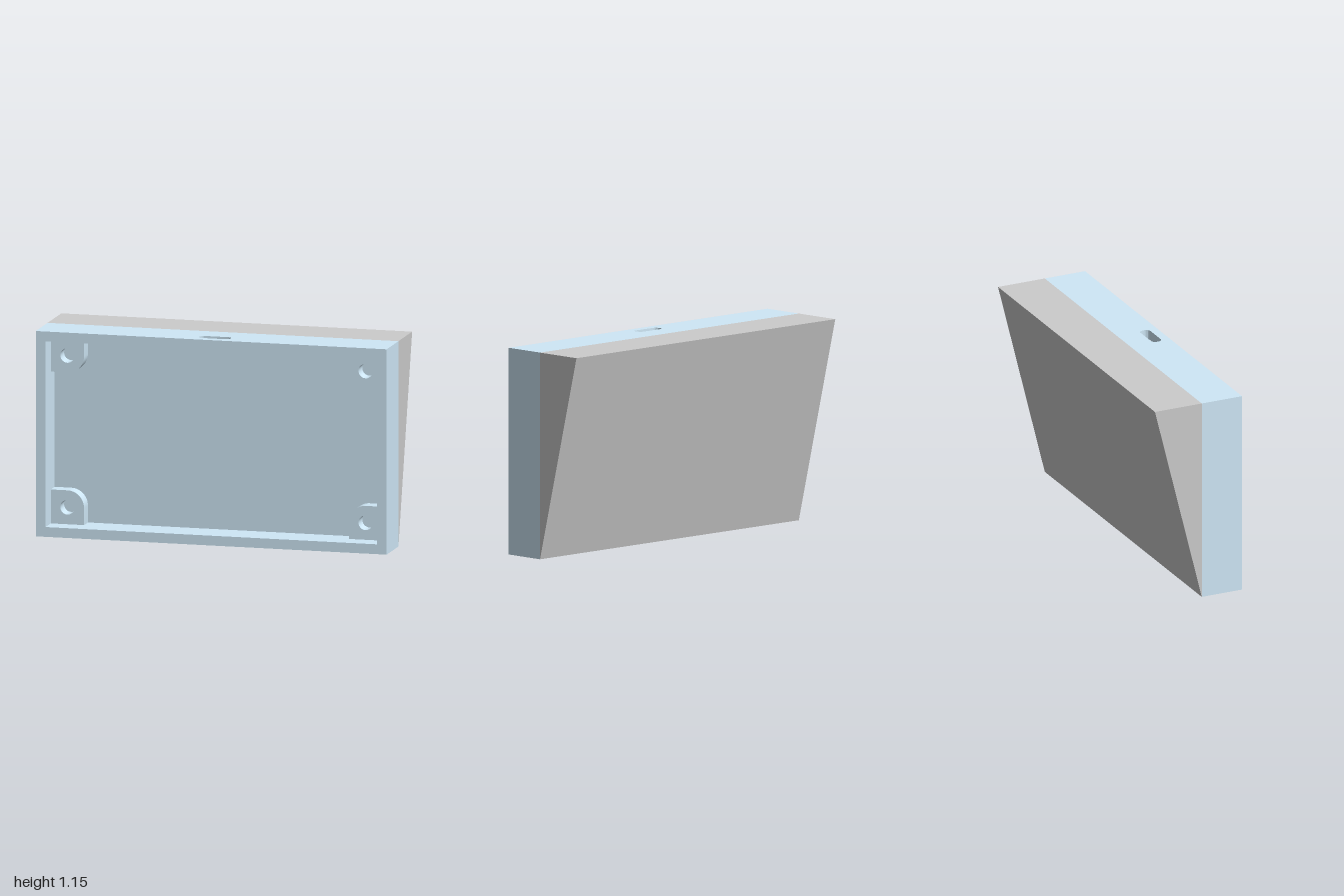
import * as THREE from 'three';
import { toCreasedNormals } from 'three/addons/utils/BufferGeometryUtils.js';

const H = 1.15, FRONT = 0.265, BACK = 0.02, WALL = 0.055;
const FLOOR = BACK + WALL;

export function createModel() {
  const model = new THREE.Group();
  const blue = new THREE.MeshStandardMaterial({ color: 0xcfe8f7 });
  const grey = new THREE.MeshStandardMaterial({ color: 0xcccccc });

  const add = (name, geometry, material, parent = model) => {
    const mesh = new THREE.Mesh(geometry, material);
    mesh.name = name;
    parent.add(mesh);
    return mesh;
  };
  const extrude = (shape, depth) => toCreasedNormals(
    new THREE.ExtrudeGeometry(shape, { depth, bevelEnabled: false, curveSegments: 12 }), 0.6);
  const polygon = (points) => new THREE.Shape(points.map(([x, y]) => new THREE.Vector2(x, y)));

  const tray = new THREE.Group();
  tray.name = 'tray';
  model.add(tray);

  // Tray floor
  add('trayFloor', new THREE.BoxGeometry(2, H, WALL).translate(0, H / 2, BACK + WALL / 2), blue, tray);

  // Side and bottom walls in one U shape
  const xi = 1 - WALL, top = H - WALL;
  const u = polygon([[-1, 0], [1, 0], [1, top], [xi, top], [xi, WALL], [-xi, WALL], [-xi, top], [-1, top]]);
  add('sideAndBottomWalls', extrude(u, FRONT - FLOOR).translate(0, 0, FLOOR), blue, tray);

  // Top wall with a rounded cable slot, drawn in x and -z then laid flat
  const wall = polygon([[-1, -FRONT], [1, -FRONT], [1, -FLOOR], [-1, -FLOOR]]);
  const slot = new THREE.Path();
  const sx = 0.09, z0 = -0.217, z1 = -0.157, r = 0.025, q = Math.PI / 2;
  slot.absarc(sx - r, z1 - r, r, 0, q);
  slot.absarc(-sx + r, z1 - r, r, q, 2 * q);
  slot.absarc(-sx + r, z0 + r, r, 2 * q, 3 * q);
  slot.absarc(sx - r, z0 + r, r, 3 * q, 4 * q);
  wall.holes.push(slot);
  add('topWallWithSlot', extrude(wall, WALL).rotateX(-Math.PI / 2).translate(0, top, 0), blue, tray);

  // Screw bosses: one rounded inner corner around a screw hole
  const size = 0.19, round = 0.095;
  for (const dx of [1, -1]) for (const dy of [1, -1]) {
    const x = -dx * xi, y = dy > 0 ? WALL : top;
    const cx = x + dx * (size - round), cy = y + dy * (size - round);
    const points = [[x, y], [x + dx * size, y]];
    for (let i = 0; i <= 12; i++) {
      const a = (i / 12) * q;
      points.push([cx + dx * round * Math.cos(a), cy + dy * round * Math.sin(a)]);
    }
    points.push([x, y + dy * size]);
    const boss = polygon(points);
    boss.holes.push(new THREE.Path().absarc(cx, cy, 0.041, 0, Math.PI * 2));
    add('screwBoss', extrude(boss, 0.08).translate(0, 0, FLOOR), blue, tray);
  }

  // Solid wedge behind the tray, profile in z and y swept along x
  const wedge = polygon([[-BACK, 0], [FRONT, H], [-BACK, H]]);
  add('backWedge', extrude(wedge, 2).rotateY(Math.PI / 2).translate(-1, 0, 0), grey);

  return model;
}
